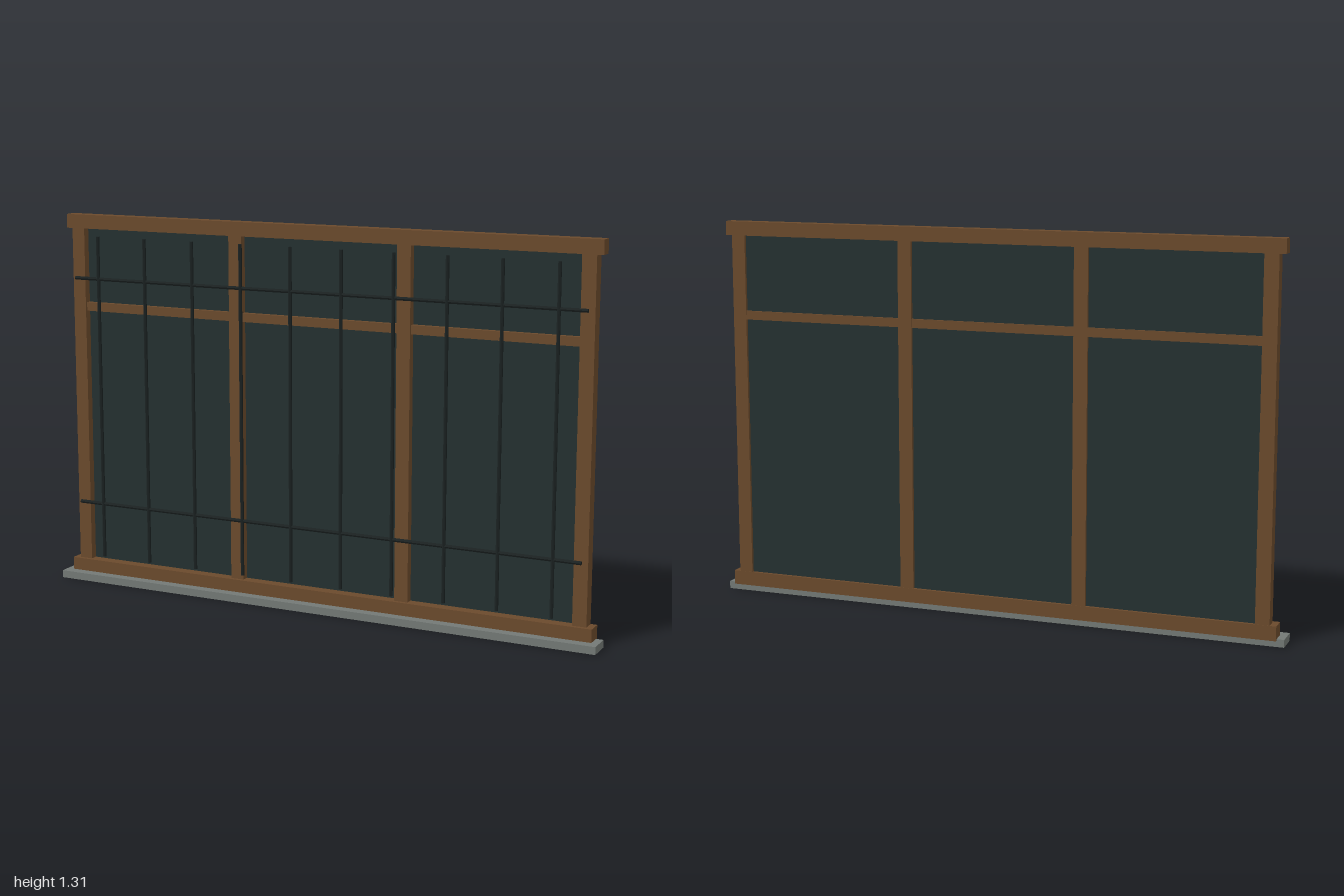
import * as THREE from 'three';

export function createModel() {
  const model = new THREE.Group();
  model.name = 'barredWindow';
  const material = (name, color) => {
    const m = new THREE.MeshStandardMaterial({ color });
    m.name = name;
    return m;
  };
  const wood = material('brownWood', 0x6b4a2c);
  const glass = material('darkGlass', 0x243030);
  const iron = material('blackIron', 0x1b2222);
  iron.flatShading = true;
  const stone = material('greyStone', 0x737975);

  // Box given by its limits on each axis
  function box(name, mat, x0, x1, y0, y1, z0, z1) {
    const mesh = new THREE.Mesh(new THREE.BoxGeometry(x1 - x0, y1 - y0, z1 - z0), mat);
    mesh.position.set((x0 + x1) / 2, (y0 + y1) / 2, (z0 + z1) / 2);
    mesh.name = name;
    model.add(mesh);
  }

  // Six-sided rod, upright or lying along x
  function rod(name, length, radius, x, y, z, lying) {
    const mesh = new THREE.Mesh(new THREE.CylinderGeometry(radius, radius, length, 6), iron);
    mesh.position.set(x, y, z);
    if (lying) mesh.rotation.z = Math.PI / 2;
    mesh.name = name;
    model.add(mesh);
  }

  // Sill and outer frame
  box('sill', stone, -1, 1, 0, 0.026, -0.037, 0.046);
  box('bottomRail', wood, -0.975, 0.975, 0.021, 0.07, -0.046, 0.011);
  box('head', wood, -0.975, 0.975, 1.258, 1.306, -0.046, -0.002);
  for (const x of [-0.929, 0.929]) {
    box('jamb', wood, x - 0.024, x + 0.024, 0.07, 1.258, -0.045, -0.002);
  }
  for (const x of [-0.309, 0.309]) {
    box('mullion', wood, x - 0.024, x + 0.024, 0.07, 1.258, -0.045, -0.002);
  }

  // Three bays, each with a transom and two panes
  for (const [x0, x1] of [[-0.905, -0.333], [-0.285, 0.285], [0.333, 0.905]]) {
    box('transom', wood, x0, x1, 0.969, 0.999, -0.043, -0.01);
    box('lowerPane', glass, x0, x1, 0.07, 0.969, -0.035, -0.028);
    box('upperPane', glass, x0, x1, 0.999, 1.258, -0.035, -0.028);
  }

  // Security grille
  for (let i = 0; i < 10; i++) {
    rod('uprightBar', 1.144, 0.006, -0.84 + i * 0.1867, 0.662, 0.014, false);
  }
  for (const y of [0.283, 1.086]) {
    rod('crossBar', 1.87, 0.0065, 0, y, 0.012, true);
  }
  return model;
}
